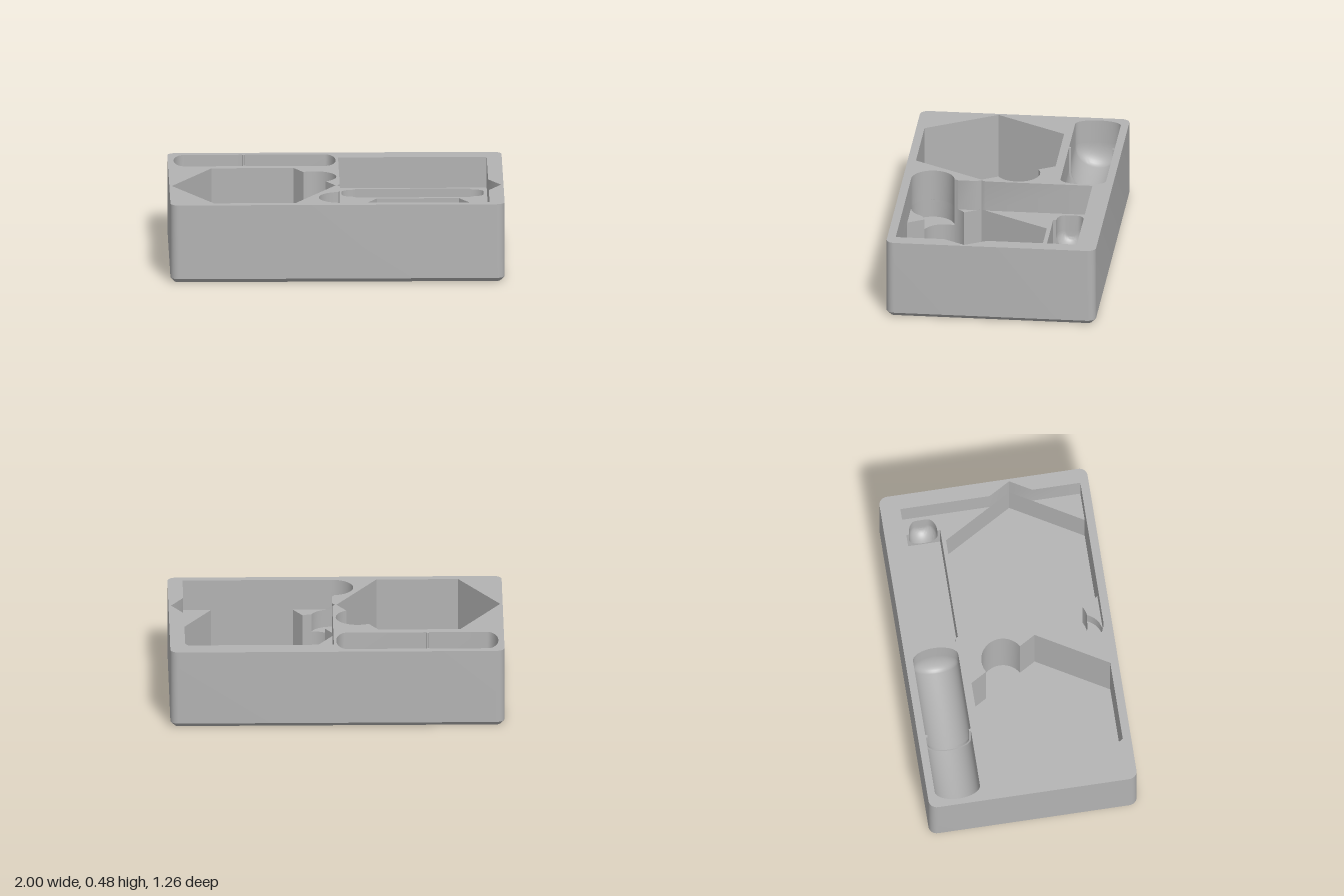
import * as THREE from 'three';
import { toCreasedNormals } from 'three/addons/utils/BufferGeometryUtils.js';

const TOP = 0.48, SHELF = 0.29, FINGER = 0.18, FLOOR = 0.015;

// Points [x, z] along an arc, angles in degrees
function arc(cx, cz, r, a0, a1, n = 24) {
  return Array.from({ length: n + 1 }, (_, i) => {
    const a = THREE.MathUtils.degToRad(a0 + (a1 - a0) * i / n);
    return [cx + r * Math.cos(a), cz + r * Math.sin(a)];
  });
}

function roundedRect(hx, hz, r) {
  return [
    ...arc(hx - r, hz - r, r, 0, 90, 8), ...arc(r - hx, hz - r, r, 90, 180, 8),
    ...arc(r - hx, r - hz, r, 180, 270, 8), ...arc(hx - r, r - hz, r, 270, 360, 8),
  ];
}

// Stations [x, halfWidth] of a rounded pocket end, from tip to full width
function cap(tip, end, r, flat) {
  const list = flat ? [[tip, 0]] : [];
  for (let i = 0; i <= 10; i++) {
    const a = i / 10 * Math.PI / 2;
    list.push([end + (tip - end) * Math.cos(a), r * (flat + (1 - flat) * Math.sin(a))]);
  }
  return list;
}

// Closed outline mirrored about z = zc from stations
function outline(stations, zc) {
  return [
    ...stations.map(([x, w]) => [x, zc + w]),
    ...stations.filter(([, w]) => w > 0).reverse().map(([x, w]) => [x, zc - w]),
  ];
}

// Surface through rows of 3D points
function loft(rows) {
  const pos = [];
  for (let i = 0; i + 1 < rows.length; i++) {
    for (let j = 0; j + 1 < rows[i].length; j++) {
      const a = rows[i][j], b = rows[i][j + 1], c = rows[i + 1][j + 1], d = rows[i + 1][j];
      pos.push(...a, ...b, ...c, ...a, ...c, ...d);
    }
  }
  const g = new THREE.BufferGeometry();
  g.setAttribute('position', new THREE.Float32BufferAttribute(pos, 3));
  return toCreasedNormals(g, 0.6);
}

const atHeight = (path, y) => path.map(([x, z]) => [x, y, z]);
const close = (path) => [...path, path[0]];
const wall = (path, y0, y1) => loft([atHeight(path, y1), atHeight(path, y0)]);

// Half-round trough below the axis height
function trough(stations, zc, axis) {
  return loft(stations.map(([x, w]) => Array.from({ length: 25 }, (_, i) => {
    const a = Math.PI * i / 24;
    return [x, axis - w * Math.sin(a), zc + w * Math.cos(a)];
  })));
}

// Flat horizontal face with holes
function flat(path, y, holes = []) {
  const pts = (p) => p.map(([x, z]) => new THREE.Vector2(x, -z));
  const shape = new THREE.Shape(pts(path));
  shape.holes = holes.map((h) => new THREE.Path(pts(h)));
  return new THREE.ShapeGeometry(shape).rotateX(-Math.PI / 2).translate(0, y, 0);
}

export function createModel() {
  const model = new THREE.Group();
  model.name = 'storageTray';
  const grey = new THREE.MeshStandardMaterial({ color: 0xb3b3b3, side: THREE.DoubleSide });
  grey.name = 'grey';
  const add = (name, geometry) => {
    const mesh = new THREE.Mesh(geometry, grey);
    mesh.name = name;
    model.add(mesh);
    return mesh;
  };

  // Hexagon pocket with a finger notch centred on one edge
  const C1 = [0.1275, 0.37, 0.13], C2 = [0.02, 0.45, 0.13];
  const hexFar = [[0.25, 0.58], [0.74, 0.58], [0.985, 0.16], [0.74, -0.26], [0.25, -0.26], [0.005, 0.16]];
  const rightHex = [...arc(...C1, 240, 60), ...hexFar];
  const leftHex = rightHex.map(([x, z]) => [-x, 0.32 - z]);

  // Upper outline of the right pocket: rectangle, hexagon tips and round finger cut
  const rightOpening = [
    [0.02, -0.51], [0.02, 0.134], [0.005, 0.16], [0.02, 0.186],
    ...arc(...C1, 214.2, 202.3, 3), ...arc(...C2, 264.4, 90).slice(1),
    [0.91, 0.58], [0.91, 0.289], [0.985, 0.16], [0.91, 0.031], [0.91, -0.51],
  ];

  // Long round-ended pocket with a thin rib
  const tubeZ = -0.447, tubeAxis = 0.335, tubeR = 0.137;
  const tube = [
    ...cap(-0.965, -0.9, tubeR, 0),
    [-0.552, tubeR], [-0.55, 0.125], [-0.537, 0.125], [-0.535, tubeR],
    ...cap(0.005, -0.057, tubeR, 0).reverse(),
  ];
  const tubeOutline = outline(tube, tubeZ);

  // Outer shell with chamfered foot
  const outer = roundedRect(1, 0.63, 0.05), foot = roundedRect(0.975, 0.605, 0.025);
  add('outerWall', wall(close(outer).reverse(), 0.025, TOP));
  add('footChamfer', loft([atHeight(close(outer).reverse(), 0.025), atHeight(close(foot).reverse(), 0)]));
  add('underside', flat(foot, 0).rotateX(Math.PI));
  add('rim', flat(outer, TOP, [leftHex, rightOpening, tubeOutline]));

  // Left hexagon pocket
  add('leftHexWall', wall(close(leftHex), FLOOR, TOP));
  add('leftHexFloor', flat(leftHex, FLOOR));

  // Tube pocket
  add('tubeWall', wall(close(tubeOutline), tubeAxis, TOP));
  add('tubeTrough', trough(tube, tubeZ, tubeAxis));

  // Right hexagon pocket, with its notch opening into the finger cut
  add('rightOpeningWall', wall(close(rightOpening), SHELF, TOP));
  add('rightHexFloor', flat(rightHex, FLOOR));
  add('rightHexWall', wall([...arc(...C1, 84.4, 60, 4), ...hexFar, ...arc(...C1, 240, 202.3, 6)], FLOOR, SHELF));
  add('rightNotchWall', wall(arc(...C1, 202.3, 84.4), FLOOR, FINGER));
  add('fingerCutWall', wall(arc(...C2, 264.4, 22.3), FINGER, SHELF));
  add('fingerCutFloor', flat([...arc(...C2, 264.4, 22.3), ...arc(...C1, 84.4, 202.3).slice(1, -1)], FINGER));

  // Box pocket with half-round ends, sunk in the shelf
  const boxZ = -0.387, boxAxis = 0.19, boxFloor = 0.09, boxW = 0.1025, endR = 0.085;
  const ends = [cap(0.04, 0.12, endR, 0.4), cap(0.89, 0.81, endR, 0.4)];
  const boxOutline = outline([...ends[0], [0.12, boxW], [0.81, boxW], ...[...ends[1]].reverse()], boxZ);
  add('boxPocketUpperWall', wall(close(boxOutline), boxAxis, SHELF));
  for (const side of [-1, 1]) {
    const z = boxZ + side * boxW;
    add('boxPocketSide', wall([[0.12, z], [0.81, z]], boxFloor, boxAxis));
  }
  add('boxPocketFloor', flat(outline([[0.12, boxW], [0.81, boxW]], boxZ), boxFloor));
  const endPanel = new THREE.Shape();
  endPanel.moveTo(-boxW, boxAxis).lineTo(-boxW, boxFloor).lineTo(boxW, boxFloor).lineTo(boxW, boxAxis);
  endPanel.lineTo(endR, boxAxis).absarc(0, boxAxis, endR, 0, -Math.PI, true);
  [0.12, 0.81].forEach((x, i) => {
    add('boxPocketEndTrough', trough(ends[i], boxZ, boxAxis));
    const panel = add('boxPocketEndPanel', new THREE.ShapeGeometry(endPanel, 24));
    panel.rotation.y = i ? -Math.PI / 2 : Math.PI / 2;
    panel.position.set(x, 0, boxZ);
  });

  // Shelf pieces left around the hexagon
  add('shelfBack', flat([
    [0.02, -0.51], [0.02, 0.134], [0.25, -0.26], [0.74, -0.26], [0.91, 0.031], [0.91, -0.51],
  ], SHELF, [boxOutline]));
  add('shelfCorner', flat([[0.91, 0.289], [0.91, 0.58], [0.74, 0.58]], SHELF));
  add('shelfSliver', flat([[0.02, 0.186], ...arc(...C1, 240, 214.2, 5)], SHELF));
  add('shelfFront', flat([
    ...arc(...C1, 60, 84.4, 5), ...arc(...C2, 22.3, 90, 12).slice(1), [0.25, 0.58],
  ], SHELF));

  return model;
}
